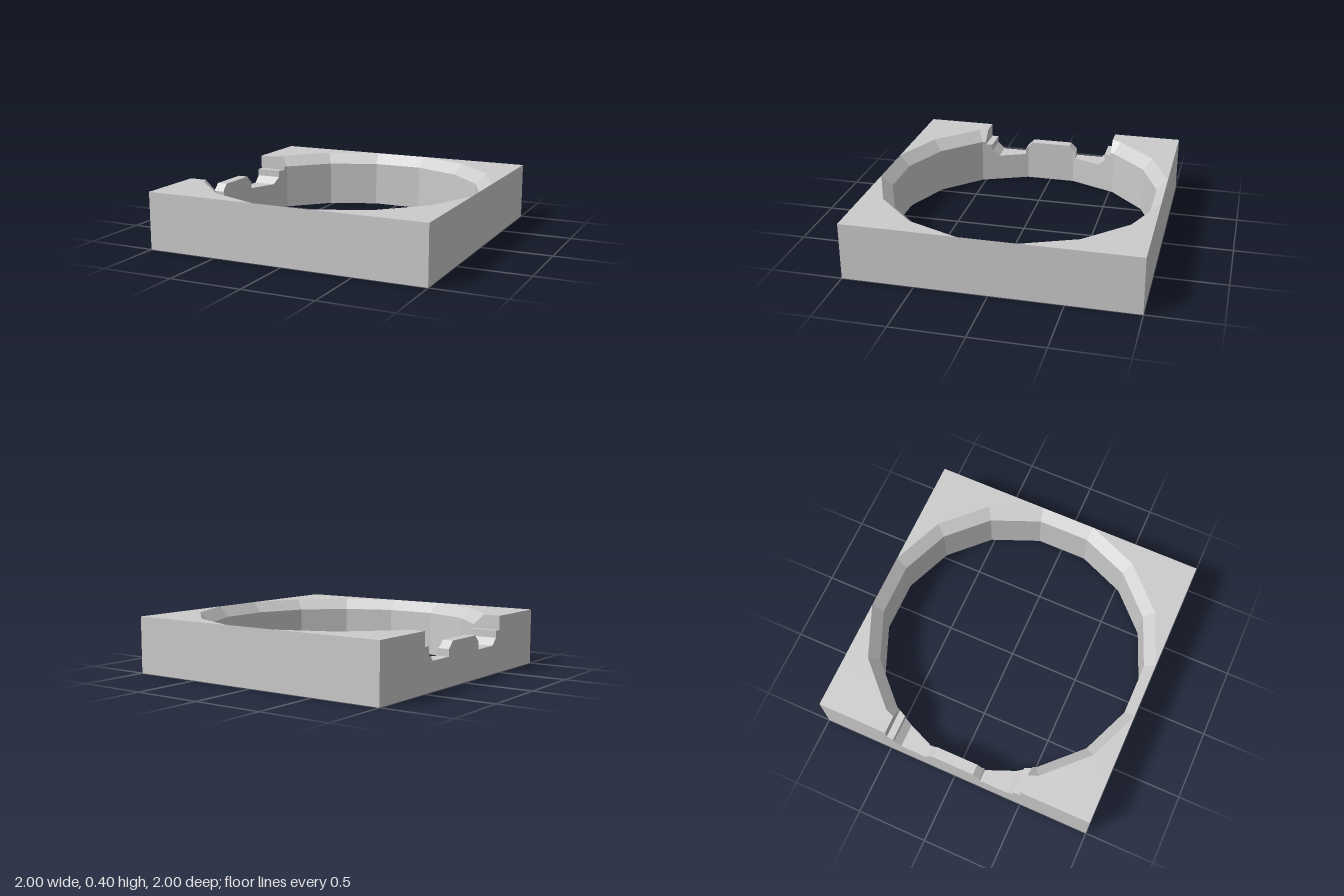
import * as THREE from 'three';

const H = 0.4;            // block height
const CHAMFER = 0.075;    // bevel around the top of the opening
const APO = 0.925;        // opening apothem (16-sided)
const SLOPE = Math.tan(Math.PI / 8);
const BEND = APO * Math.tan(Math.PI / 16);   // z of the opening corner beside -x

// distance from x = 0 to the opening's -x side at depth z, for a given apothem
const wallX = (z, apo) =>
  apo - Math.max(0, Math.abs(z) - apo * Math.tan(Math.PI / 16)) * SLOPE;

// section: outer bottom, outer top, bevel top, bevel bottom, inner bottom
function ringSection(k) {
  const a = k * Math.PI / 16, c = Math.cos(a), s = Math.sin(a);
  const out = 1 / Math.max(Math.abs(c), Math.abs(s));
  const f = k % 2 ? 1 / Math.cos(Math.PI / 16) : 1;   // corner or mid-side
  const at = (r, y) => [c * r, y, s * r];
  return [at(out, 0), at(out, H), at((APO + CHAMFER) * f, H),
    at(APO * f, H - CHAMFER), at(APO * f, 0)];
}

// section across the stepped cut-out on the -x side
function notchSection([z, y]) {
  const x = -wallX(z, APO), full = y === H;
  return [[-1, 0, z], [-1, y, z],
    [full ? -wallX(z, APO + CHAMFER) : x, y, z],
    [x, full ? H - CHAMFER : y, z], [x, 0, z]];
}

// closed loft through all sections, flat shaded
function loft(sections) {
  const pos = [];
  const tri = (...pts) => {
    const [a, b, c] = pts.map(p => new THREE.Vector3(...p));
    if (b.sub(a).cross(c.sub(a)).length() > 1e-7) pos.push(...pts.flat());
  };
  sections.forEach((a, i) => {
    const b = sections[(i + 1) % sections.length];
    a.forEach((p, j) => {
      const n = (j + 1) % a.length;
      tri(p, a[n], b[j]);
      tri(a[n], b[n], b[j]);
    });
  });
  const g = new THREE.BufferGeometry();
  g.setAttribute('position', new THREE.Float32BufferAttribute(pos, 3));
  g.computeVertexNormals();
  return g;
}

export function createModel() {
  const sections = [];
  // square frame with 16-sided opening, plus the outer square's corners
  for (let k = -13; k <= 13; k++)
    if (k % 2 || Math.abs(k) % 8 === 4) sections.push(ringSection(k));

  // half of the notch outline as [z, y], mirrored for the other half
  const half = [[0.5, H], [0.5, 0.3], [0.45, 0.3], [0.45, 0.25], [0.4, 0.2],
    [0.2, 0.2], [0.2, 0.25], [BEND, 0.45 - BEND], [0.15, 0.3]];
  const outline = [...half, ...half.map(([z, y]) => [-z, y]).reverse()];
  sections.push(...outline.map(notchSection));

  const frame = new THREE.Mesh(loft(sections),
    new THREE.MeshStandardMaterial({ color: 0xcccccc, flatShading: true }));
  frame.name = 'notchedFrame';

  const group = new THREE.Group();
  group.name = 'squareFrame';
  group.add(frame);
  return group;
}
